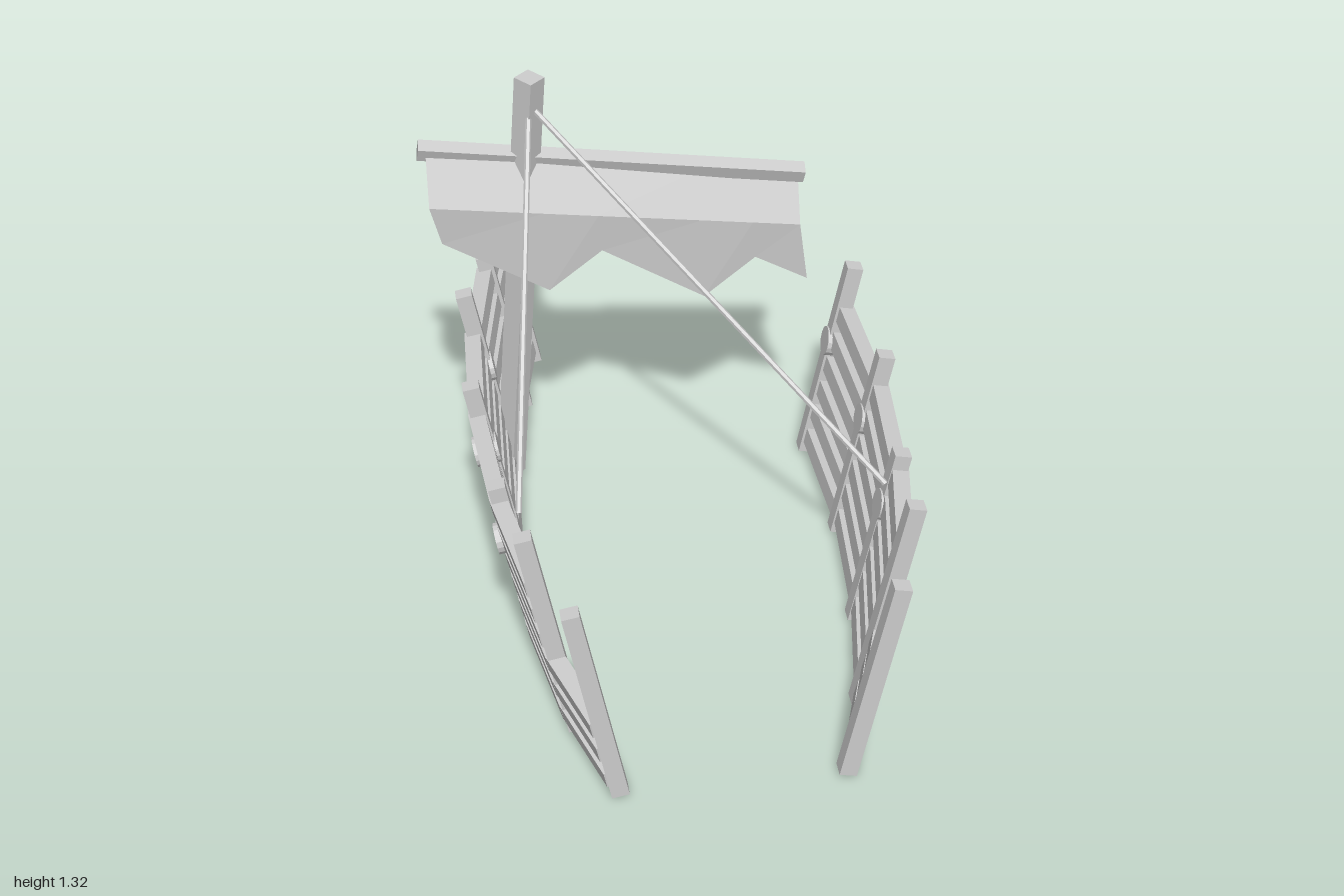
import * as THREE from 'three';

const wood = new THREE.MeshStandardMaterial({ color: 0xcccccc });
wood.name = 'pale grey wood';
wood.flatShading = true;
const cloth = wood.clone();
cloth.name = 'pale grey cloth';
cloth.side = THREE.DoubleSide;

const V = (x, y, z) => new THREE.Vector3(x, y, z);

// Square-section beam from a to b; "side" gives the direction of its width
function beam(name, a, b, width, depth, side) {
  const along = b.clone().sub(a);
  const length = along.length();
  along.normalize();
  const x = side.clone().addScaledVector(along, -side.dot(along)).normalize();
  const z = x.clone().cross(along);
  const mesh = new THREE.Mesh(new THREE.BoxGeometry(width, length, depth), wood);
  mesh.quaternion.setFromRotationMatrix(new THREE.Matrix4().makeBasis(x, along, z));
  mesh.position.copy(a).lerp(b, 0.5);
  mesh.name = name;
  return mesh;
}

// Round rope between two points
function rope(name, a, b) {
  const mesh = new THREE.Mesh(new THREE.TubeGeometry(new THREE.LineCurve3(a, b), 1, 0.008, 6), wood);
  mesh.name = name;
  return mesh;
}

// Rib stations from bow to stern: z, half width at the base, height
const stations = [
  [0.978, 0.285, 0.58], [0.72, 0.365, 0.62], [0.38, 0.42, 0.535], [-0.01, 0.445, 0.58],
  [-0.405, 0.425, 0.62], [-0.74, 0.365, 0.535], [-0.978, 0.315, 0.58],
];
const LEAN = 0.2;
const CENTRE = 0.035;
const plankHeights = [0.055, 0.14, 0.22, 0.302, 0.383, 0.465];

// One side of the hull: leaning ribs, planks between them, round pegs
function hullSide(name, sign, ribCount) {
  const side = new THREE.Group();
  side.name = name;
  const at = (i, y, out = 0) =>
    V(CENTRE + sign * (stations[i][1] + LEAN * y + out), y, stations[i][0]);

  for (let i = 0; i < ribCount; i++) {
    side.add(beam('rib', at(i, 0.005), at(i, stations[i][2]), 0.045, 0.044, V(1, 0, 0)));

    if (i + 1 < ribCount) {
      const rows = i === 0 ? 3 : plankHeights.length;
      for (let r = 0; r < rows; r++) {
        const y = plankHeights[r];
        const a = at(i, y - 0.004, 0.006);
        const b = at(i + 1, y + 0.004, 0.006);
        side.add(beam('plank', a, b, 0.045, 0.048, V(sign, -LEAN, 0)));
      }
    }

    if (i >= 2 && i <= 4) {
      const peg = new THREE.Mesh(new THREE.CylinderGeometry(0.042, 0.042, 0.066, 16), wood);
      peg.position.copy(at(i, 0.368, 0.006));
      peg.rotation.z = Math.PI / 2 - sign * Math.atan(LEAN);
      peg.name = 'peg';
      side.add(peg);
    }
  }
  return side;
}

// Torn sail: three rows (yard, fold, ragged hem) over six columns
function tornSail() {
  const topX = [-0.6, -0.3, -0.15, 0.13, 0.27, 0.4];
  const hem = [[-0.57, 0.86], [-0.285, 0.69], [-0.14, 0.805], [0.14, 0.635], [0.28, 0.75], [0.425, 0.67]];
  const positions = [];
  const index = [];
  topX.forEach((x, i) => {
    const drop = (x + 0.6) * 0.128;
    positions.push(x, 1.1 - drop, -0.325, x, 0.977 - drop, -0.268, hem[i][0], hem[i][1], -0.278);
    if (i < topX.length - 1) {
      for (let r = 0; r < 2; r++) {
        const a = i * 3 + r;
        index.push(a, a + 1, a + 3, a + 1, a + 4, a + 3);
      }
    }
  });
  const geometry = new THREE.BufferGeometry();
  geometry.setAttribute('position', new THREE.Float32BufferAttribute(positions, 3));
  geometry.setIndex(index);
  geometry.computeVertexNormals();
  const mesh = new THREE.Mesh(geometry, cloth);
  mesh.name = 'sail';
  return mesh;
}

export function createModel() {
  const model = new THREE.Group();
  model.name = 'shipwreck';

  // Hull: the left side is broken off short at the stern
  model.add(hullSide('leftHull', 1, 5), hullSide('rightHull', -1, 7));

  // Leaning mast turned cornerwise, with its tilted yard and sail
  model.add(beam('mast', V(-0.4, 0.012, -0.4), V(-0.32, 1.322, -0.32), 0.057, 0.057, V(1, 0, 1)));
  model.add(beam('yard', V(-0.62, 1.111, -0.35), V(0.416, 0.98, -0.325), 0.04, 0.04, V(0, 1, 0.35)));
  model.add(tornSail());

  // Stays from the masthead to each side
  model.add(rope('leftStay', V(-0.31, 1.23, -0.31), V(0.51, 0.475, 0.43)));
  model.add(rope('rightStay', V(-0.325, 1.23, -0.31), V(-0.44, 0.475, 0.43)));
  return model;
}
